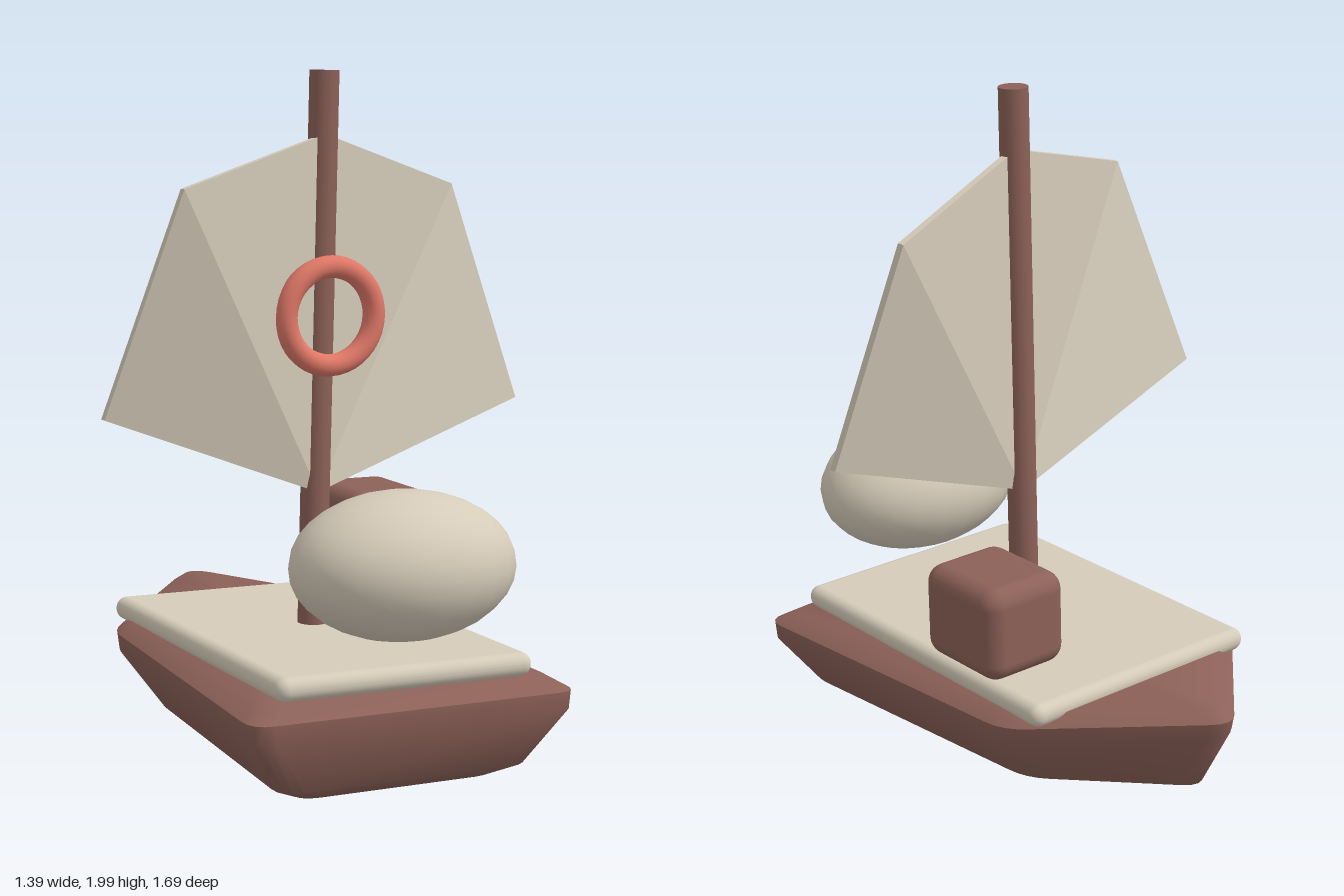
import * as THREE from 'three';
import { toCreasedNormals } from 'three/addons/utils/BufferGeometryUtils.js';
import { RoundedBoxGeometry } from 'three/addons/geometries/RoundedBoxGeometry.js';

const material = (name, color) => Object.assign(new THREE.MeshStandardMaterial({ color }), { name });

function fromTriangles(points, index) {
  const g = new THREE.BufferGeometry();
  g.setAttribute('position', new THREE.Float32BufferAttribute(points.flatMap(p => p.toArray()), 3));
  g.setIndex(index);
  return g;
}

// One five-cornered hull outline with rounded corners; heights run stern, shoulder, bow
function hullLoop({ y, w, z }, round = 0.07) {
  const v = (a, b, c) => new THREE.Vector3(a, b, c);
  const corners = [
    v(w[0], y[0], z[0]), v(w[1], y[1], z[1]), v(0, y[2], z[2]),
    v(-w[1], y[1], z[1]), v(-w[0], y[0], z[0]),
  ];
  const loop = [];
  corners.forEach((c, i) => {
    const toward = o => c.clone().add(o.clone().sub(c).setLength(round));
    const before = toward(corners[(i + 4) % 5]);
    const after = toward(corners[(i + 1) % 5]);
    loop.push(...new THREE.QuadraticBezierCurve3(before, c, after).getPoints(4));
  });
  return loop;
}

function hullGeometry() {
  const levels = [
    { y: [0.012, 0.025, 0.05], w: [0.32, 0.26], z: [0.60, -0.30, -0.64] },
    { y: [0.05, 0.06, 0.09], w: [0.40, 0.32], z: [0.66, -0.33, -0.75] },
    { y: [0.21, 0.23, 0.29], w: [0.515, 0.445], z: [0.715, -0.38, -0.86] },
    { y: [0.265, 0.285, 0.335], w: [0.52, 0.45], z: [0.715, -0.39, -0.87] },
    { y: [0.297, 0.318, 0.362], w: [0.465, 0.41], z: [0.665, -0.37, -0.81] },
  ];
  const points = levels.flatMap(l => hullLoop(l));
  const n = points.length / levels.length;
  const index = [];
  for (let k = 0; k < levels.length - 1; k++) {
    for (let i = 0; i < n; i++) {
      const a = k * n + i, b = k * n + (i + 1) % n;
      index.push(a, b, b + n, a, b + n, a + n);
    }
  }
  // Bottom and top caps fan out from the shoulder line
  const last = levels.length - 1;
  for (const k of [0, last]) {
    const centre = points.push(new THREE.Vector3(0, levels[k].y[1], levels[k].z[1])) - 1;
    for (let i = 0; i < n; i++) {
      const a = k * n + i, b = k * n + (i + 1) % n;
      index.push(centre, ...(k === last ? [a, b] : [b, a]));
    }
  }
  return toCreasedNormals(fromTriangles(points, index), 0.75);
}

// Thin six-sided sheet, twisted more toward the top
function sailGeometry() {
  const outline = [
    [0, 0.765, 0], [0.695, 1.015, -0.028], [0.515, 1.665, -0.147],
    [0, 1.815, 0], [-0.515, 1.665, 0.147], [-0.695, 1.015, 0.028],
  ];
  const points = [0.0125, -0.0125].flatMap(t => outline.map(([x, y, z]) => new THREE.Vector3(x, y, z + t)));
  const index = [];
  for (const [a, b, c] of [[0, 1, 2], [0, 2, 3], [0, 3, 4], [0, 4, 5]]) {
    index.push(a, b, c, a + 6, c + 6, b + 6);
  }
  for (let i = 0; i < 6; i++) {
    const j = (i + 1) % 6;
    index.push(i, i + 6, j + 6, i, j + 6, j);
  }
  const g = fromTriangles(points, index).toNonIndexed();
  g.computeVertexNormals();
  return g;
}

export function createModel() {
  const wood = material('brown wood', 0x8c6158);
  const cream = material('cream', 0xd5cbb9);
  const coral = material('coral', 0xe07868);

  const model = new THREE.Group();
  model.name = 'sailingRaft';
  // The whole boat leans slightly to its left
  const boat = new THREE.Group();
  boat.name = 'leaningBoat';
  boat.rotation.z = -0.0245;
  boat.position.x = -0.029;
  model.add(boat);

  const add = (name, geometry, mat, x = 0, y = 0, z = 0) => {
    const mesh = new THREE.Mesh(geometry, mat);
    mesh.name = name;
    mesh.position.set(x, y, z);
    boat.add(mesh);
    return mesh;
  };

  add('hull', hullGeometry(), wood);
  add('deck', new RoundedBoxGeometry(0.815, 0.07, 1.145, 4, 0.034), cream, 0, 0.335, 0.08);
  add('mast', new THREE.CylinderGeometry(0.044, 0.044, 1.68, 20), wood, 0, 1.159, 0.06);
  add('sail', sailGeometry(), cream, 0, 0, 0.067);
  add('ring', new THREE.TorusGeometry(0.144, 0.033, 14, 40), coral, 0, 1.292, 0.131);
  add('crate', new RoundedBoxGeometry(0.28, 0.28, 0.325, 4, 0.055), wood, 0.357, 0.576, -0.25);

  // Floating rounded bundle at the stern
  add('bundle', new THREE.SphereGeometry(1, 24, 16), cream, 0, 0.645, 0.59).scale.set(0.335, 0.21, 0.257);

  return model;
}
